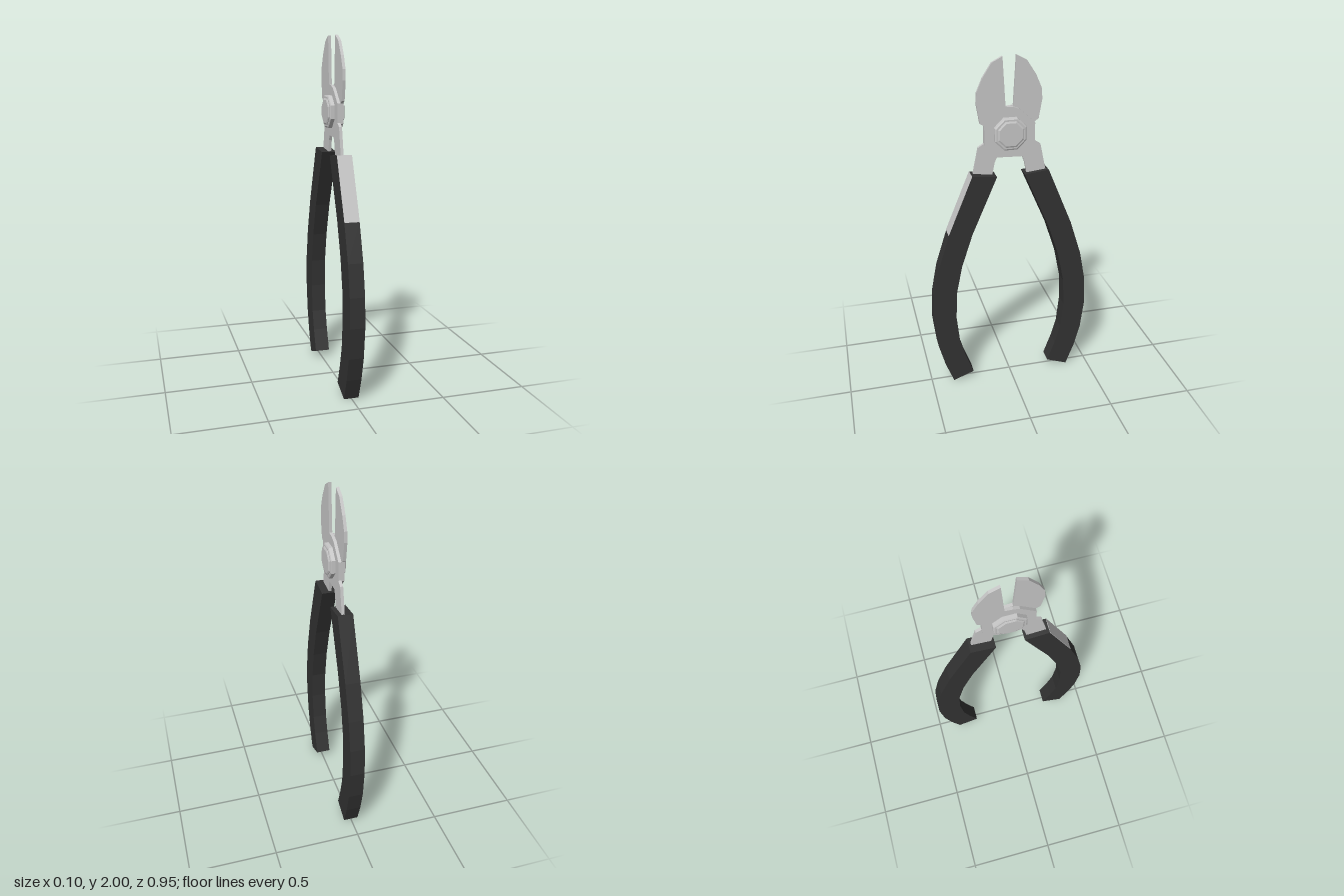
import * as THREE from 'three';

export function createModel() {
  const group = new THREE.Group();
  group.name = 'sideCutters';
  const steel = new THREE.MeshStandardMaterial({ name: 'steel', color: 0xc8c8c8 });
  const grip = new THREE.MeshStandardMaterial({ name: 'darkGrip', color: 0x333333 });

  // Extrudes a [z, y] outline from x0 to x1; side = -1 mirrors it in z
  function plate(name, points, side, x0, x1, material) {
    const shape = new THREE.Shape(points.map(([z, y]) => new THREE.Vector2(z * side, y)));
    const geometry = new THREE.ExtrudeGeometry(shape, { depth: x1 - x0, bevelEnabled: false });
    geometry.rotateY(-Math.PI / 2);
    geometry.translate(x1, 0, 0);
    const mesh = new THREE.Mesh(geometry, material);
    mesh.name = name;
    group.add(mesh);
  }

  // One jaw with its pivot body and the shank that crosses to the other side
  const jaw = [
    [0.04, 2.0], [0.098, 1.97], [0.15, 1.89], [0.182, 1.815], [0.186, 1.755],
    [0.167, 1.645], [0.143, 1.63], [0.143, 1.52], [0.066, 1.445], [-0.07, 1.44],
    [-0.083, 1.41], [-0.105, 1.3], [-0.218, 1.3], [-0.175, 1.505], [-0.143, 1.525],
    [-0.143, 1.63], [-0.055, 1.712], [-0.02, 1.725], [0.024, 1.73],
  ];
  plate('leftJaw', jaw, 1, 0, 0.017, steel);
  plate('rightJaw', jaw, -1, -0.017, 0, steel);

  // Curved grips
  const handle = [
    [0.22, 1.355], [0.363, 1.01], [0.43, 0.8], [0.465, 0.62], [0.473, 0.45],
    [0.452, 0.27], [0.415, 0.13], [0.366, 0.0], [0.241, 0.047], [0.288, 0.175],
    [0.32, 0.29], [0.336, 0.455], [0.33, 0.62], [0.293, 0.8], [0.227, 1.0], [0.08, 1.34],
  ];
  plate('frontHandle', handle, 1, -0.043, 0.043, grip);
  plate('backHandle', handle, -1, -0.043, 0.043, grip);

  // Pale strip on the outside of the front grip
  const strip = [[0.22, 1.355], [0.222, 1.356], [0.365, 1.011], [0.363, 1.01]];
  plate('handleStrip', strip, 1, -0.043, 0.043, steel);

  // Octagonal pivot: a boss and a chamfered bolt head on each face
  function octagon(name, profile) {
    const corner = 1 / Math.cos(Math.PI / 8);
    const points = profile.map(([r, h]) => new THREE.Vector2(r * corner, h));
    const geometry = new THREE.LatheGeometry(points, 8, Math.PI / 8).toNonIndexed();
    geometry.computeVertexNormals();
    geometry.rotateZ(-Math.PI / 2);
    geometry.translate(0, 1.58, 0);
    const mesh = new THREE.Mesh(geometry, steel);
    mesh.name = name;
    group.add(mesh);
  }
  octagon('pivotBoss', [[0, -0.042], [0.082, -0.042], [0.09, -0.038], [0.09, 0.038], [0.082, 0.042], [0, 0.042]]);
  octagon('pivotBolt', [[0, -0.049], [0.064, -0.049], [0.073, -0.045], [0.073, 0.045], [0.064, 0.049], [0, 0.049]]);

  return group;
}
